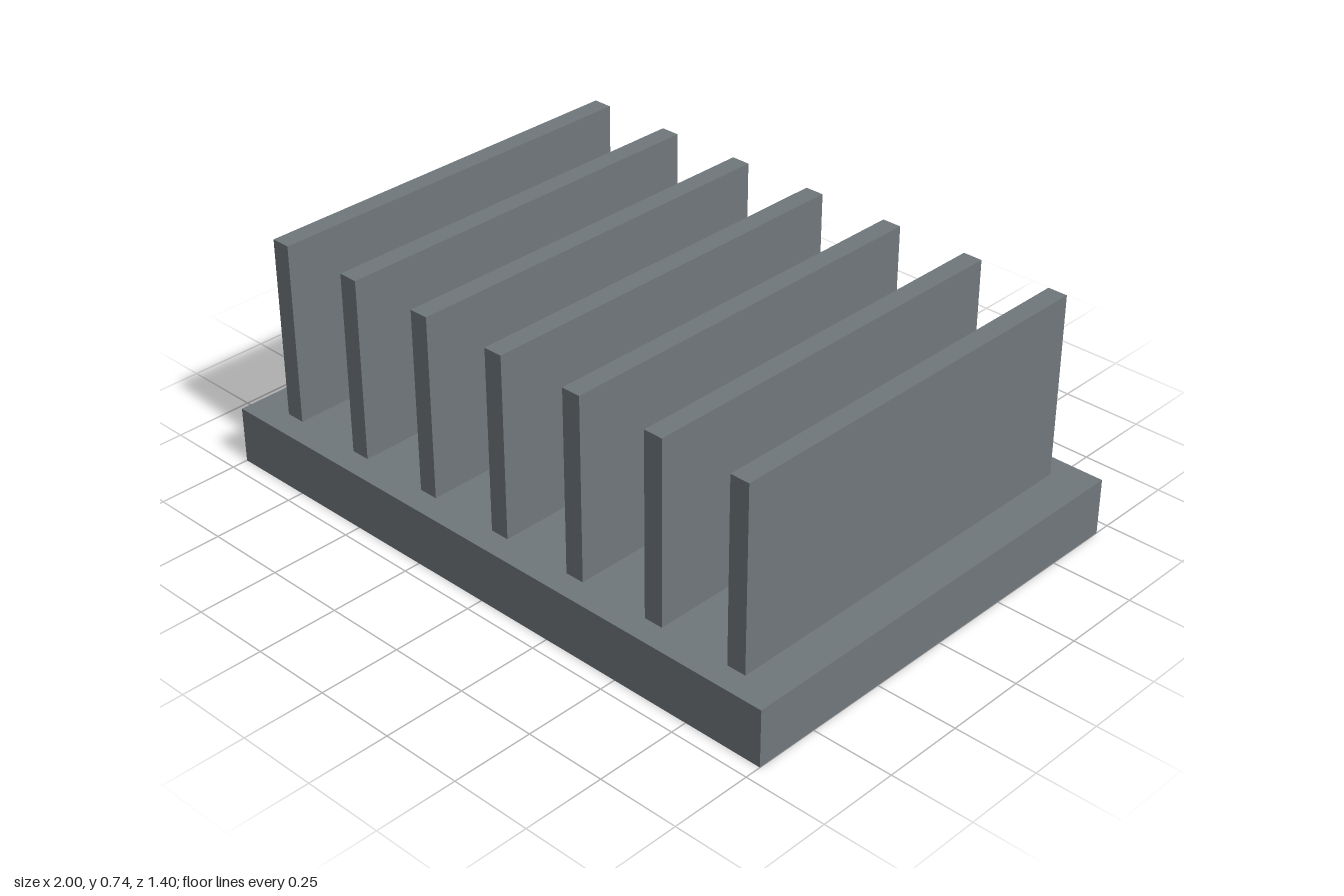
import * as THREE from 'three';

export function createModel() {
  const model = new THREE.Group();
  model.name = 'heatSink';
  const metal = new THREE.MeshStandardMaterial({ color: 0x70787b });

  const baseHeight = 0.176;
  const topHeight = 0.74;
  const finCount = 7;
  const finSpan = 1.7; // between the centres of the outer fins

  // Base plate
  const base = new THREE.Mesh(new THREE.BoxGeometry(2, baseHeight, 1.4), metal);
  base.name = 'basePlate';
  base.position.y = baseHeight / 2;
  model.add(base);

  // Evenly spaced upright fins
  const finHeight = topHeight - baseHeight;
  const finGeometry = new THREE.BoxGeometry(0.06, finHeight, 1.25);
  for (let i = 0; i < finCount; i++) {
    const fin = new THREE.Mesh(finGeometry, metal);
    fin.name = `fin${i + 1}`;
    fin.position.set((i / (finCount - 1) - 0.5) * finSpan, baseHeight + finHeight / 2, 0);
    model.add(fin);
  }

  return model;
}
